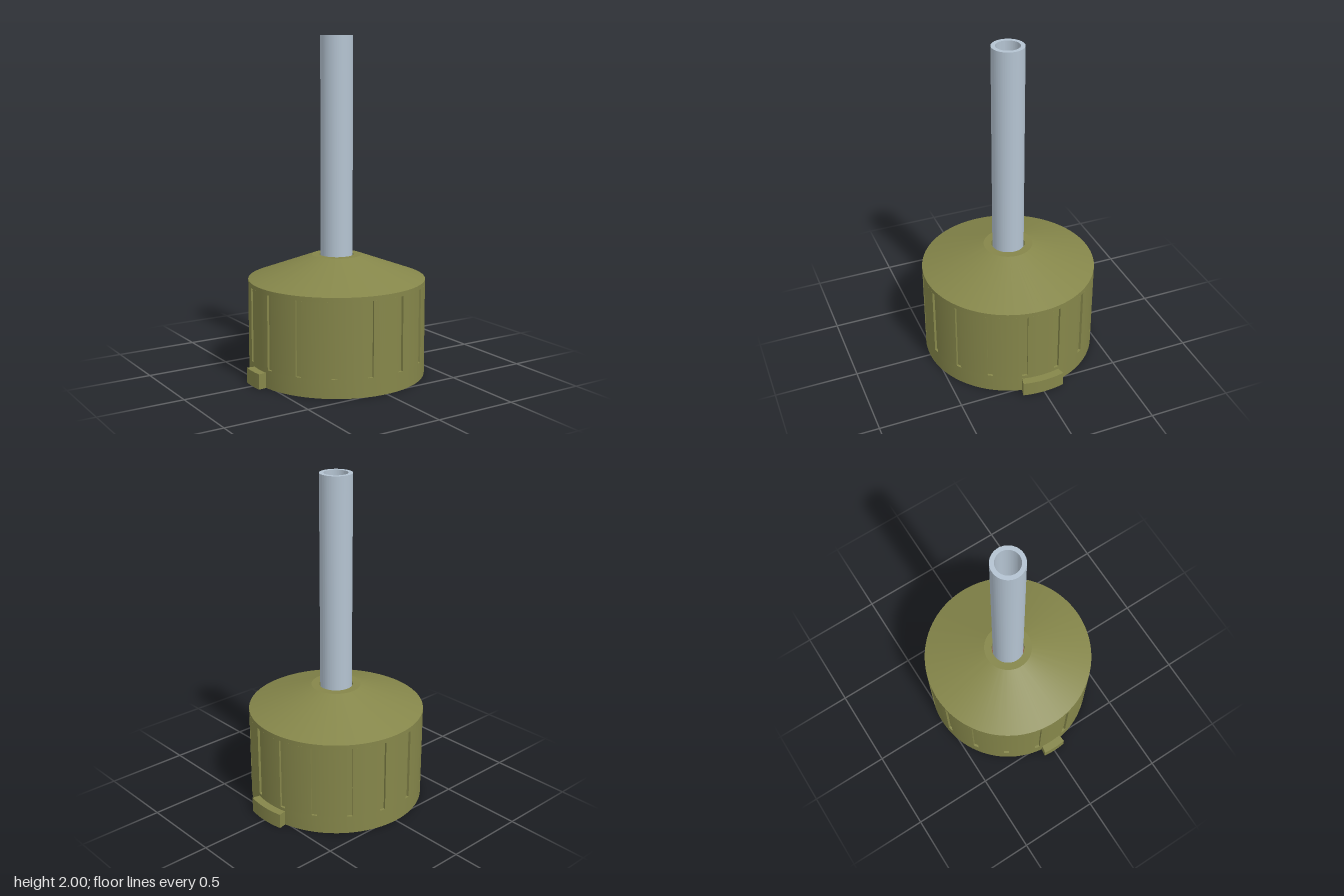
import * as THREE from 'three';
import { toCreasedNormals } from 'three/addons/utils/BufferGeometryUtils.js';

const SEG = 96;
const R = 0.527, INNER = 0.478;          // housing wall radii
const GROOVES = 16, GROOVE_DEPTH = 0.014, GROOVE_HALF = 0.032;

function material(name, color) {
  const m = new THREE.MeshStandardMaterial({ color });
  m.name = name;
  return m;
}

function part(name, geometry, mat) {
  const mesh = new THREE.Mesh(toCreasedNormals(geometry, 0.35), mat);
  mesh.name = name;
  return mesh;
}

// Closed solid of revolution; points run counter-clockwise in (radius, y)
function turned(points) {
  const pts = [...points, points[0]].map(([r, y]) => new THREE.Vector2(r, y));
  return new THREE.LatheGeometry(pts, SEG);
}

function pipe(inner, outer, y0, y1) {
  return turned([[inner, y0], [outer, y0], [outer, y1], [inner, y1]]);
}

// Extrude a plan shape upwards from y0 to y1
function upright(shape, y0, y1, curveSegments) {
  const g = new THREE.ExtrudeGeometry(shape, { depth: y1 - y0, bevelEnabled: false, curveSegments });
  return g.rotateX(-Math.PI / 2).translate(0, y0, 0);
}

// Ring whose outer edge is notched by evenly spaced grooves
function groovedRing() {
  const shape = new THREE.Shape();
  const step = (Math.PI * 2) / GROOVES;
  for (let i = 0; i < GROOVES; i++) {
    const a = (i + 0.5) * step;
    shape.absarc(0, 0, R - GROOVE_DEPTH, a - GROOVE_HALF, a + GROOVE_HALF, false);
    shape.absarc(0, 0, R, a + GROOVE_HALF, a + step - GROOVE_HALF, false);
  }
  const hole = [];
  for (let i = 0; i < SEG; i++) {
    const a = (-i / SEG) * Math.PI * 2;
    hole.push(new THREE.Vector2(INNER * Math.cos(a), INNER * Math.sin(a)));
  }
  shape.holes.push(new THREE.Path(hole));
  return shape;
}

// Curved locking tab centred on angle
function tabShape(angle, half) {
  const s = new THREE.Shape();
  s.absarc(0, 0, 0.575, angle - half, angle + half, false);
  s.absarc(0, 0, 0.51, angle + half, angle - half, true);
  return s;
}

export function createModel() {
  const olive = material('olive housing', 0x85864a);
  const steel = material('pale blue grey tube', 0xb4c3d1);
  const brown = material('brown insert', 0x8b5a45);
  const red = material('red core', 0xb03c3c);

  const model = new THREE.Group();
  model.name = 'cableCap';

  // Housing: plain lower rim, grooved band and conical roof
  const housing = new THREE.Group();
  housing.name = 'housing';
  housing.add(
    part('lowerRim', pipe(INNER, R, 0, 0.11), olive),
    part('groovedBand', upright(groovedRing(), 0.11, 0.548, 6), olive),
    part('conicalRoof', turned([
      [INNER, 0.548], [R, 0.548], [R, 0.575], [0.148, 0.715],
      [0.101, 0.715], [0.101, 0.66], [0.148, 0.66], [INNER, 0.55],
    ]), olive),
    part('wideTab', upright(tabShape(0, 0.227), 0, 0.09, 12), olive),
    part('narrowTab', upright(tabShape(Math.PI, 0.13), 0, 0.09, 12), olive),
  );
  model.add(housing);

  // Hollow stem
  model.add(part('stemTube', pipe(0.07, 0.095, 0.38, 2), steel));

  // Insert plate with two round sockets
  const insert = new THREE.Group();
  insert.name = 'insert';
  const plate = new THREE.CylinderGeometry(INNER, INNER, 0.09, SEG).translate(0, 0.335, 0);
  insert.add(part('insertPlate', plate, brown));
  for (const side of [-1, 1]) {
    const socket = part('socket', pipe(0.075, 0.135, 0.075, 0.3), brown);
    socket.position.x = side * 0.195;
    insert.add(socket);
  }
  model.add(insert);

  // Core at the bottom of the stem, crossed by a thin bar
  const core = new THREE.Group();
  core.name = 'core';
  core.add(
    part('coreCone', new THREE.CylinderGeometry(0.002, 0.07, 0.05, 48).translate(0, 0.405, 0), red),
    part('coreBar', new THREE.BoxGeometry(0.138, 0.06, 0.02).translate(0, 0.41, 0), red),
  );
  model.add(core);

  return model;
}
